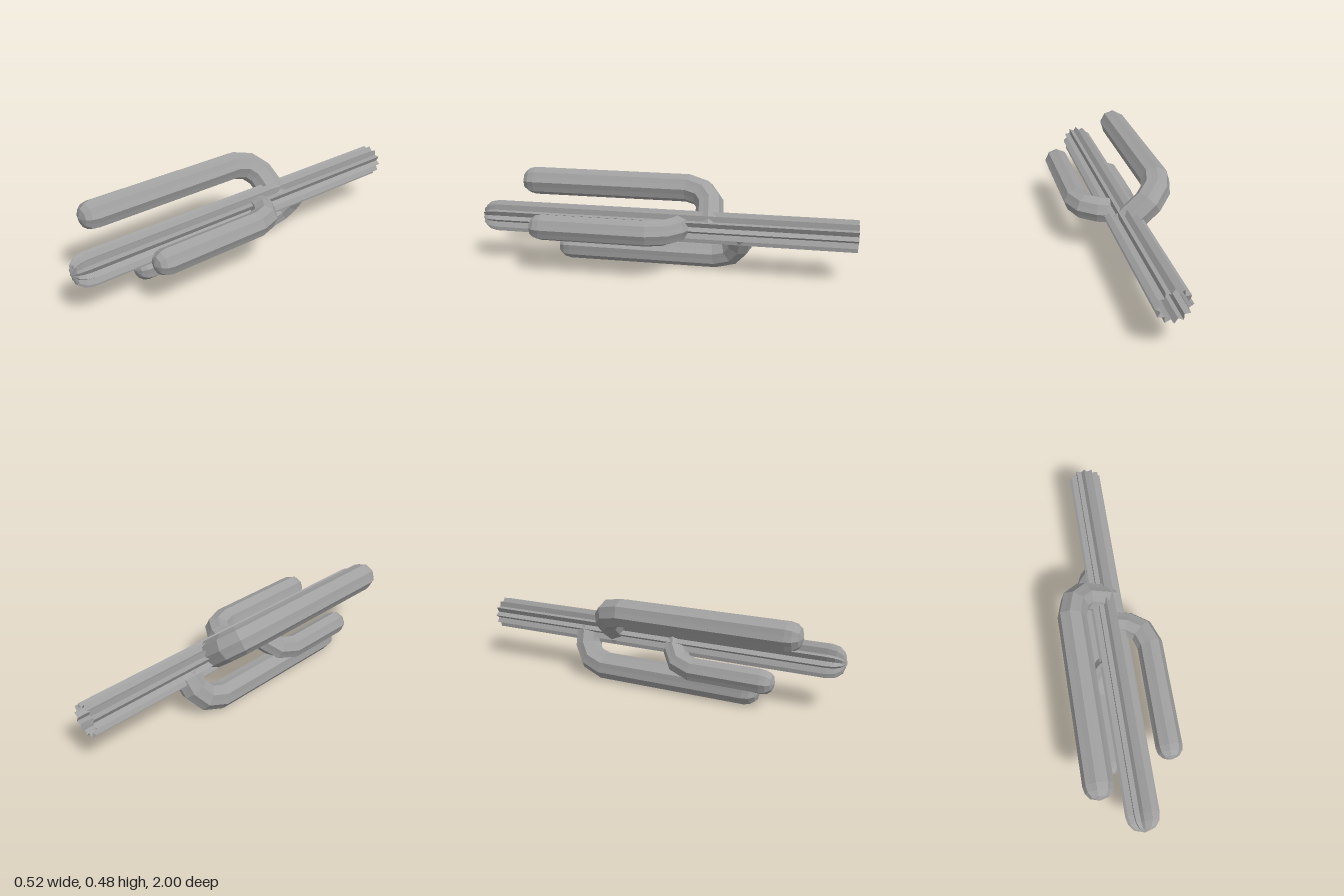
import * as THREE from 'three';

const skin = new THREE.MeshStandardMaterial({ color: 0xa0a0a0, flatShading: true, side: THREE.DoubleSide });
skin.name = 'grey skin';

// Rounded tip: [distance beyond the shaft in radii, radius scale]
const DOME = [[0.45, 0.9], [0.8, 0.62], [1, 0]];

// Sweeps a ribbed section along a path that lies in the plane of z and `out`.
// The path must end pointing to +z; a dome closes it there.
function ribbedStem(name, path, out, radius, ribs, valley) {
  const normal = new THREE.Vector3(0, 0, 1).cross(out).normalize();
  const end = path[path.length - 1];
  const rings = path.map((p, i) => {
    const before = path[Math.max(i - 1, 0)], after = path[Math.min(i + 1, path.length - 1)];
    const a = p.clone().sub(before).normalize(), b = after.clone().sub(p).normalize();
    const t = a.add(b).normalize();
    return { p, t, s: 1 };
  });
  for (const [d, s] of DOME) {
    rings.push({ p: end.clone().add(new THREE.Vector3(0, 0, d * radius)), t: new THREE.Vector3(0, 0, 1), s });
  }

  const n = ribs * 2, positions = [], index = [];
  for (const { p, t, s } of rings) {
    const u = normal.clone().cross(t);
    for (let i = 0; i < n; i++) {
      const angle = (i / n) * Math.PI * 2, r = radius * s * (i % 2 ? valley : 1);
      const v = p.clone().addScaledVector(u, Math.cos(angle) * r).addScaledVector(normal, Math.sin(angle) * r);
      positions.push(v.x, v.y, v.z);
    }
  }
  for (let k = 0; k < rings.length - 1; k++) {
    for (let i = 0; i < n; i++) {
      const a = k * n + i, b = k * n + (i + 1) % n;
      index.push(a, b, b + n);
      if (rings[k + 1].s > 0) index.push(a, b + n, a + n);
    }
  }
  const indexed = new THREE.BufferGeometry();
  indexed.setAttribute('position', new THREE.Float32BufferAttribute(positions, 3));
  indexed.setIndex(index);
  const geometry = indexed.toNonIndexed();
  geometry.computeVertexNormals();
  const mesh = new THREE.Mesh(geometry, skin);
  mesh.name = name;
  return mesh;
}

// x, y: arm axis; bendZ: where the arm leaves the trunk; tipZ: far end;
// inset: how far from the trunk axis the arm begins
function arm(name, x, y, bendZ, tipZ, radius, inset) {
  const cx = 0.005, cy = 0.25;
  const out = new THREE.Vector3(x - cx, y - cy, 0);
  const reach = out.length();
  out.normalize();
  const at = (d, z) => new THREE.Vector3(cx + out.x * d, cy + out.y * d, z);
  const path = [
    at(inset, bendZ - 0.01),
    at(reach - 0.095, bendZ + 0.005),
    at(reach - 0.03, bendZ + 0.05),
    at(reach, bendZ + 0.135),
    at(reach, tipZ - radius),
  ];
  return ribbedStem(name, path, out, radius, 8, 0.91);
}

export function createModel() {
  const group = new THREE.Group();
  group.name = 'cactus';

  // Trunk, open at its cut end
  group.add(ribbedStem('trunk',
    [new THREE.Vector3(0.005, 0.25, -1), new THREE.Vector3(0.005, 0.25, 0.915)],
    new THREE.Vector3(1, 0, 0), 0.085, 12, 0.74));

  // Four bent arms
  group.add(arm('upperRightArm', -0.187, 0.405, -0.235, 0.838, 0.076, -0.02));
  group.add(arm('leftArm', 0.193, 0.26, -0.075, 0.675, 0.068, 0.04));
  group.add(arm('lowerArm', -0.095, 0.069, -0.4, 0.61, 0.072, 0.02));
  group.add(arm('innerArm', -0.12, 0.137, 0.125, 0.69, 0.063, 0.02));
  return group;
}
